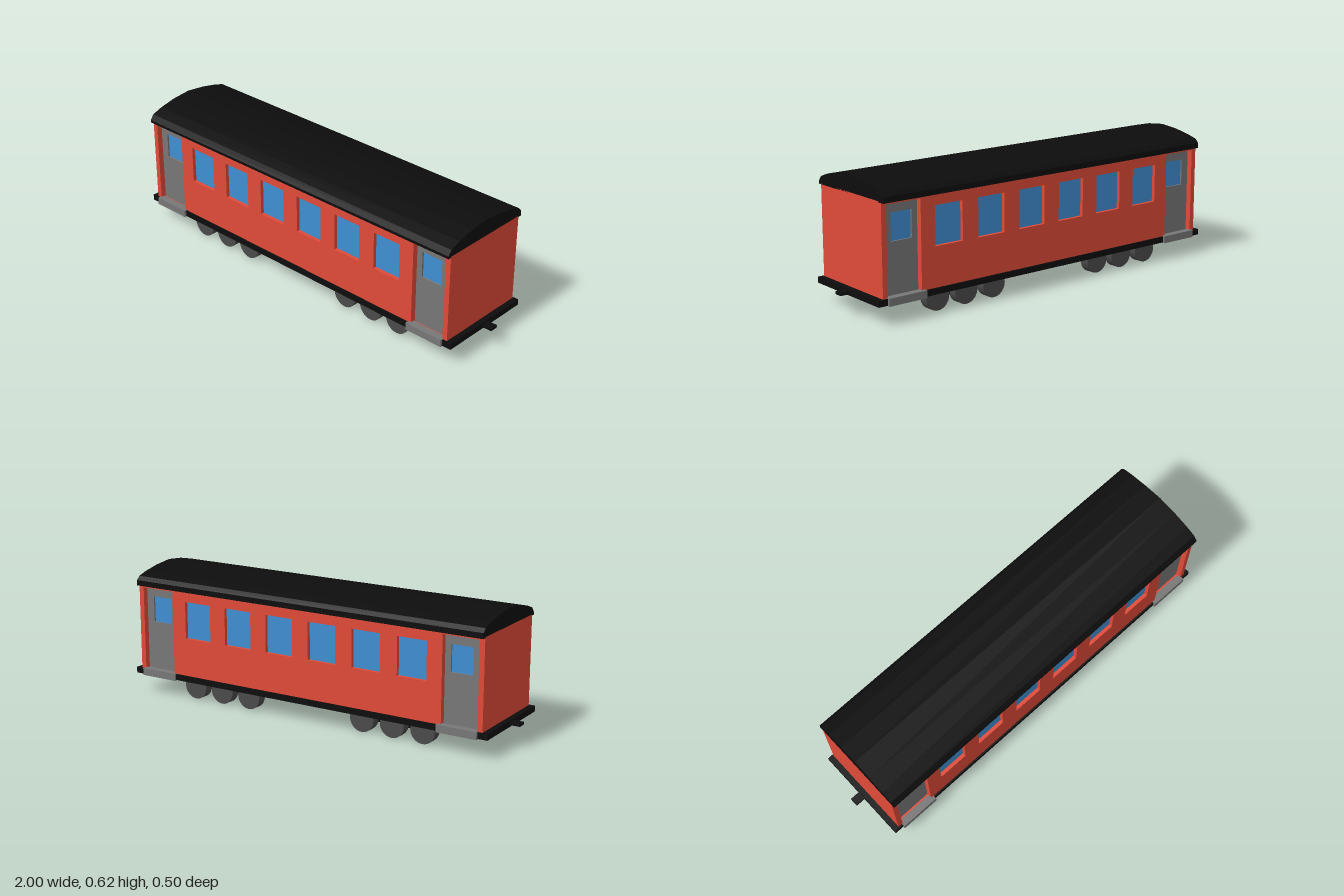
import * as THREE from 'three';

const mat = (color) => new THREE.MeshStandardMaterial({ color, flatShading: true });
const RED = mat(0xe04a38), BLACK = mat(0x0d0d0d), GREY = mat(0x777777);
const BLUE = mat(0x3f8fd2), DARK = mat(0x4a4a4a);

function rect(x0, x1, y0, y1, Type = THREE.Shape) {
  const s = new Type();
  s.moveTo(x0, y0);
  s.lineTo(x1, y0);
  s.lineTo(x1, y1);
  s.lineTo(x0, y1);
  s.closePath();
  return s;
}

const extrude = (shape, depth) =>
  new THREE.ExtrudeGeometry(shape, { depth, bevelEnabled: false });

function add(parent, name, geometry, material, x = 0, y = 0, z = 0) {
  const mesh = new THREE.Mesh(geometry, material);
  mesh.name = name;
  mesh.position.set(x, y, z);
  parent.add(mesh);
  return mesh;
}

// Box given by its limits on each axis
function box(parent, name, material, x0, x1, y0, y1, z0, z1) {
  return add(parent, name, new THREE.BoxGeometry(x1 - x0, y1 - y0, z1 - z0), material,
    (x0 + x1) / 2, (y0 + y1) / 2, (z0 + z1) / 2);
}

// One long side: pierced wall, recessed glass, doors and steps
function createSide() {
  const side = new THREE.Group();
  side.name = 'carriageSide';
  const wall = rect(-0.925, 0.925, 0.112, 0.535);

  for (let i = 0; i < 6; i++) {
    const x = (i - 2.5) * 0.231;
    wall.holes.push(rect(x - 0.073, x + 0.073, 0.3, 0.48, THREE.Path));
    box(side, 'windowPane', BLUE, x - 0.073, x + 0.073, 0.3, 0.48, 0.192, 0.213);
  }

  for (const s of [-1, 1]) {
    const c = s * 0.8125;
    wall.holes.push(rect(c - 0.0875, c + 0.0875, 0.115, 0.52, THREE.Path));
    const door = rect(c - 0.0875, c + 0.0875, 0.115, 0.52);
    const w = s * 0.807;
    door.holes.push(rect(w - 0.053, w + 0.053, 0.35, 0.475, THREE.Path));
    add(side, 'door', extrude(door, 0.014), GREY, 0, 0, 0.189);
    box(side, 'doorWindow', BLUE, w - 0.053, w + 0.053, 0.35, 0.475, 0.185, 0.195);
    const p = s * 0.8075;
    box(side, 'doorStep', GREY, p - 0.0975, p + 0.0975, 0.085, 0.12, 0.212, 0.248);
  }

  add(side, 'sideWall', extrude(wall, 0.04), RED, 0, 0, 0.19);
  return side;
}

// Six-wheel truck
function createBogie(x) {
  const bogie = new THREE.Group();
  bogie.name = 'bogie';
  bogie.position.x = x;
  box(bogie, 'bogieFrame', BLACK, -0.165, 0.165, 0.045, 0.115, -0.155, 0.155);
  const wheel = new THREE.CylinderGeometry(0.061, 0.061, 0.046, 32).rotateX(Math.PI / 2);
  for (const dx of [-0.155, 0, 0.155])
    for (const z of [-0.177, 0.177]) add(bogie, 'wheel', wheel, DARK, dx, 0.061, z);
  return bogie;
}

export function createModel() {
  const carriage = new THREE.Group();
  carriage.name = 'railwayCarriage';

  // Body core and both sides
  box(carriage, 'bodyCore', RED, -0.925, 0.925, 0.112, 0.535, -0.19, 0.19);
  const front = createSide();
  const back = createSide();
  back.rotation.y = Math.PI;
  carriage.add(front, back);

  // Arched roof, swept along the length
  const profile = [
    [0.247, 0.53], [0.247, 0.543], [0.229, 0.567], [0.177, 0.586], [0.095, 0.605], [0, 0.615],
    [-0.095, 0.605], [-0.177, 0.589], [-0.229, 0.574], [-0.247, 0.556], [-0.247, 0.53],
  ];
  const roofShape = new THREE.Shape(profile.map(([z, y]) => new THREE.Vector2(-z, y)));
  const roof = extrude(roofShape, 1.85).translate(0, 0, -0.925).rotateY(Math.PI / 2);
  add(carriage, 'roof', roof, BLACK);

  // Open underframe with the floor visible inside it
  const frame = rect(-0.952, 0.952, -0.238, 0.238);
  frame.holes.push(rect(-0.915, 0.915, -0.222, 0.222, THREE.Path));
  add(carriage, 'underframe', extrude(frame, 0.028).rotateX(-Math.PI / 2), BLACK, 0, 0.088, 0);

  // Couplers and running gear at each end
  for (const s of [-1, 1]) {
    add(carriage, 'coupler', new THREE.BoxGeometry(0.07, 0.013, 0.04), BLACK, s * 0.965, 0.103, 0);
    carriage.add(createBogie(s * 0.465));
  }
  return carriage;
}
